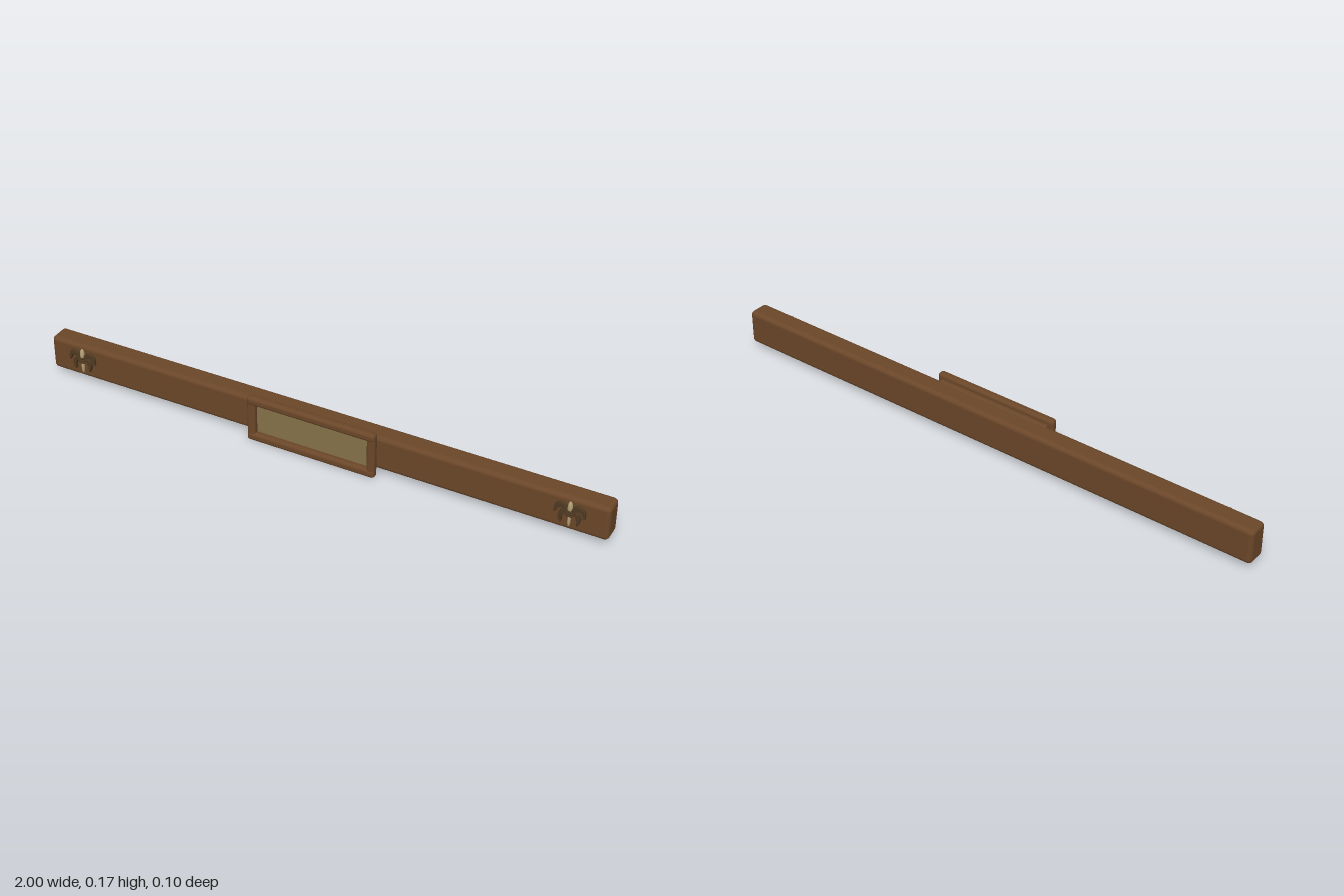
import * as THREE from 'three';
import { RoundedBoxGeometry } from 'three/addons/geometries/RoundedBoxGeometry.js';

const MID = 0.0835; // height of the centre line

export function createModel() {
  const mat = (name, color) => {
    const m = new THREE.MeshStandardMaterial({ color });
    m.name = name;
    return m;
  };
  const wood = mat('brown wood', 0x6b4729);
  const panel = mat('tan panel', 0x85724a);
  const bronze = mat('dark bronze', 0x4f3a22);
  const pale = mat('pale gold', 0xb5a078);

  const root = new THREE.Group();
  root.name = 'framedBeam';

  const add = (parent, name, geo, material, x = 0, y = 0, z = 0) => {
    const m = new THREE.Mesh(geo, material);
    m.name = name;
    m.position.set(x, y, z);
    parent.add(m);
    return m;
  };
  const block = (parent, name, material, w, h, d, r, x, y, z) =>
    add(parent, name, new RoundedBoxGeometry(w, h, d, 4, r), material, x, y, z);

  // Long beam with softened edges
  block(root, 'beam', wood, 2, 0.122, 0.073, 0.015, 0, MID + 0.0015, -0.0135);

  // Frame: four rounded bars over a backing block
  const frame = new THREE.Group();
  frame.name = 'frame';
  root.add(frame);
  block(frame, 'frameBacking', wood, 0.43, 0.134, 0.022, 0.008, 0, MID + 0.001, 0.0155);
  for (const s of [-1, 1]) {
    block(frame, s > 0 ? 'topBar' : 'bottomBar', wood,
      0.46, 0.03, 0.028, 0.011, 0, MID + s * 0.0685, 0.036);
    block(frame, s > 0 ? 'leftBar' : 'rightBar', wood,
      0.03, 0.16, 0.025, 0.01, s * 0.215, MID, 0.0355);
  }
  add(frame, 'panel', new THREE.BoxGeometry(0.404, 0.112, 0.006), panel, 0, MID, 0.027);

  // Leaf outline curling from the centre to a pointed tip
  const leaf = (pts, widths) => {
    const curve = new THREE.CatmullRomCurve3(pts.map(([x, y]) => new THREE.Vector3(x, y, 0)));
    const left = [], right = [];
    const n = 12;
    for (let i = 0; i <= n; i++) {
      const t = i / n;
      const p = curve.getPoint(t);
      const d = curve.getTangent(t);
      const w = widths * Math.sin(Math.PI * (0.12 + 0.84 * t));
      left.push(new THREE.Vector2(p.x - d.y * w, p.y + d.x * w));
      right.unshift(new THREE.Vector2(p.x + d.y * w, p.y - d.x * w));
    }
    return new THREE.ExtrudeGeometry(new THREE.Shape([...left, ...right]), {
      depth: 0.008, bevelEnabled: true, bevelThickness: 0.003, bevelSize: 0.0015, bevelSegments: 2,
    });
  };
  const upperLeaf = [[0.006, 0.006], [0.022, 0.026], [0.04, 0.022], [0.048, -0.003]];
  const lowerLeaf = [[0.004, 0.002], [0.02, 0.006], [0.03, -0.012], [0.027, -0.034]];
  const mirrorX = (pts) => pts.map(([x, y]) => [-x, y]);

  // Leaf ornament near each end of the beam
  for (const side of [-1, 1]) {
    const o = new THREE.Group();
    o.name = side > 0 ? 'leftOrnament' : 'rightOrnament';
    o.position.set(side * 0.875, 0.09, 0.022);
    root.add(o);
    for (const s of [-1, 1]) {
      const turn = (pts) => (s > 0 ? pts : mirrorX(pts));
      add(o, 'upperLeaf', leaf(turn(upperLeaf), 0.0075), bronze);
      add(o, 'lowerLeaf', leaf(turn(lowerLeaf), 0.006), bronze, 0, 0, 0.001);
    }
    // Middle spike and tail
    const spike = add(o, 'spike', new THREE.SphereGeometry(1, 16, 10), pale, 0, 0.024, 0.006);
    spike.scale.set(0.008, 0.022, 0.008);
    const tail = add(o, 'tail', new THREE.SphereGeometry(1, 16, 10), pale, 0, -0.022, 0.006);
    tail.scale.set(0.005, 0.026, 0.007);
    // Binding rings
    for (const y of [-0.004, 0.004, 0.012]) {
      const ring = add(o, 'band', new THREE.CapsuleGeometry(0.0035, 0.016, 4, 10), bronze, 0, y, 0.012);
      ring.rotation.z = Math.PI / 2;
    }
  }
  return root;
}
